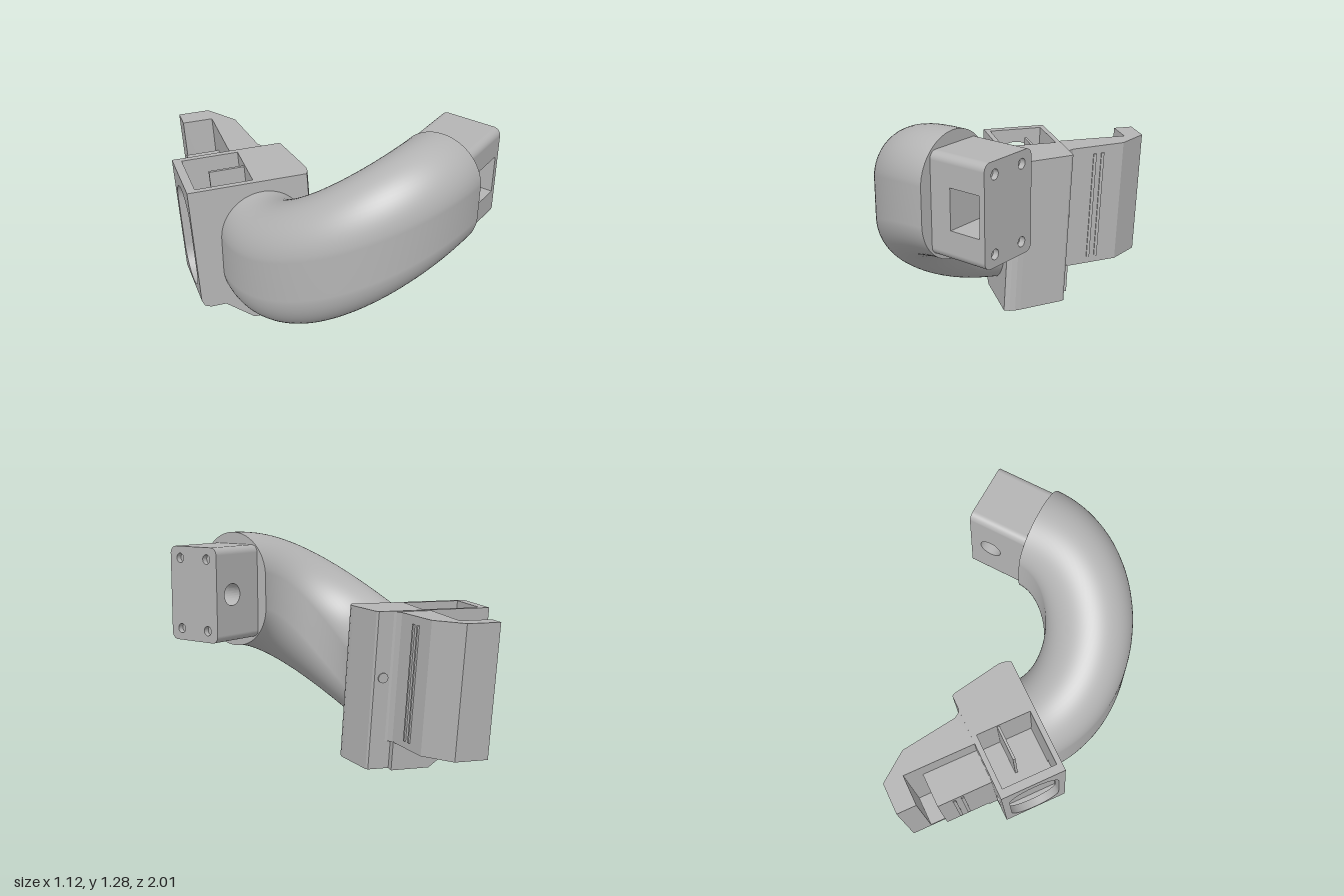
import * as THREE from 'three';

const grey = new THREE.MeshStandardMaterial({ color: 0xb4b4b4 });
grey.name = 'grey plastic';

// Mount frame: x runs along the plate, z out of its front; leans back with height
const mountFrame = new THREE.Matrix4().set(
  0.8, 0, -0.6, 0,
  0, 1, 0, 0,
  0.6, -0.085, 0.8, 0.0757,
  0, 0, 0, 1);

function add(parent, name, geometry) {
  const mesh = new THREE.Mesh(geometry, grey);
  mesh.name = name;
  parent.add(mesh);
  return mesh;
}
const polygon = pts => new THREE.Shape(pts.map(p => new THREE.Vector2(...p)));
const extrude = (shape, depth) =>
  new THREE.ExtrudeGeometry(shape, { depth, bevelEnabled: false, curveSegments: 20 });
function circleHole(shape, x, y, r) {
  const hole = new THREE.Path();
  hole.absarc(x, y, r, 0, Math.PI * 2, true);
  shape.holes.push(hole);
}
function roundedRect(x0, y0, x1, y1, rBottom, rTop) {
  const s = new THREE.Shape();
  s.moveTo(x0 + rBottom, y0);
  s.lineTo(x1 - rBottom, y0);
  if (rBottom) s.absarc(x1 - rBottom, y0 + rBottom, rBottom, -Math.PI / 2, 0, false);
  s.lineTo(x1, y1 - rTop);
  if (rTop) s.absarc(x1 - rTop, y1 - rTop, rTop, 0, Math.PI / 2, false);
  s.lineTo(x0 + rTop, y1);
  if (rTop) s.absarc(x0 + rTop, y1 - rTop, rTop, Math.PI / 2, Math.PI, false);
  s.lineTo(x0, y0 + rBottom);
  if (rBottom) s.absarc(x0 + rBottom, y0 + rBottom, rBottom, Math.PI, Math.PI * 1.5, false);
  return s;
}
function box(x0, x1, y0, y1, z0, z1) {
  return new THREE.BoxGeometry(x1 - x0, y1 - y0, z1 - z0)
    .translate((x0 + x1) / 2, (y0 + y1) / 2, (z0 + z1) / 2);
}

// Swept arm: stadium sections along a horizontal arc that descends smoothly
function armGeometry() {
  const n = 64, steps = 56, sweep = 2.214, R = 0.535, drop = 0.48;
  const pos = [], index = [];
  const ring = (theta, t, extra) => {
    const s = t * t * (3 - 2 * t);
    const slope = drop * 6 * t * (1 - t) / (sweep * R);
    const stretch = Math.sqrt(1 + slope * slope) * (1 + 0.065 * s);
    const nx = -Math.sin(theta), nz = Math.cos(theta);
    for (let j = 0; j < n; j++) {
      const a = (j + 0.5) / n * Math.PI * 2;
      const c = R + 0.247 * Math.cos(a);
      const h = (0.245 * Math.sin(a) + Math.sign(Math.sin(a)) * 0.0925) * stretch;
      pos.push(0.221 + nx * c - nz * extra, 0.946 - drop * s + h, 0.219 + nz * c + nx * extra);
    }
  };
  for (let i = 0; i <= steps; i++) ring(sweep * i / steps, i / steps, 0);
  ring(sweep, 1, 0.03);
  for (let i = 0; i <= steps; i++) for (let j = 0; j < n; j++) {
    const a = i * n + j, b = i * n + (j + 1) % n;
    index.push(a, b, b + n, a, b + n, a + n);
  }
  // flat end caps on their own vertices
  for (const end of [0, 1]) {
    const start = pos.length / 3;
    ring(end * sweep, end, end * 0.03);
    for (let j = 1; j < n - 1; j++) {
      if (end) index.push(start, start + j, start + j + 1);
      else index.push(start, start + j + 1, start + j);
    }
  }
  const g = new THREE.BufferGeometry();
  g.setAttribute('position', new THREE.Float32BufferAttribute(pos, 3));
  g.setIndex(index);
  g.computeVertexNormals();
  return g;
}

// Square end block with a nut pocket, a cross bore and four screw holes
function buildEndBlock() {
  const g = new THREE.Group();
  g.name = 'endBlock';
  const alongX = (shape, x0, x1) =>
    extrude(shape, x1 - x0).rotateY(Math.PI / 2).translate(x0, 0, 0.75);
  add(g, 'upperBar', alongX(roundedRect(-0.18, 1.055, 0.18, 1.215, 0, 0.042), 0.21, 0.528));
  add(g, 'lowerBar', alongX(roundedRect(-0.18, 0.675, 0.18, 0.835, 0.042, 0), 0.21, 0.528));
  add(g, 'innerWeb', box(0.21, 0.345, 0.835, 1.055, 0.57, 0.93));
  const bore = roundedRect(0.345, 0.835, 0.528, 1.055, 0, 0);
  circleHole(bore, 0.435, 0.945, 0.063);
  add(g, 'boredWall', extrude(bore, 0.13).translate(0, 0, 0.57));
  const cap = roundedRect(-0.18, 0.675, 0.18, 1.215, 0.042, 0.042);
  for (const z of [-0.103, 0.103]) for (const y of [0.742, 1.148]) circleHole(cap, z, y, 0.027);
  add(g, 'screwCap', alongX(cap, 0.528, 0.56));
  return g;
}

// Leaning mount: hollow block, neck with side recess, hooked lip
function buildMount() {
  const g = new THREE.Group();
  g.name = 'mount';
  const put = (name, geo) => add(g, name, geo.applyMatrix4(mountFrame));
  const upright = (pts, y0, y1) =>
    extrude(polygon(pts), y1 - y0).rotateX(-Math.PI / 2).translate(0, y0, 0);

  // solid right half of the block
  put('solidBlock', upright([[-0.27, -0.02], [0.037, -0.02], [0.05, 0.01], [0.054, 0.042],
    [0.05, 0.075], [-0.002, 0.345], [-0.012, 0.358], [-0.27, 0.36]], 0, 0.89));

  // hollow left half: front and back plates, floor, raised inner step, pierced side wall
  const foot = top => polygon([[-0.27, 0], [-0.27, top], [-0.65, top], [-0.65, 0.18],
    [-0.635, 0.145], [-0.6, 0.13], [-0.51, 0.13], [-0.35, 0]]);
  put('frontPlate', extrude(foot(0.89), 0.03).translate(0, 0, -0.01));
  put('backPlate', extrude(foot(0.89), 0.03).translate(0, 0, -0.36));
  put('pocketFloor', extrude(foot(0.181), 0.32).translate(0, 0, -0.33));
  put('pocketStep', box(-0.57, -0.27, 0.181, 0.5, -0.33, -0.01));
  const wall = roundedRect(0.01, 0.181, 0.33, 0.89, 0, 0);
  const oval = new THREE.Path();
  oval.absarc(0.17, 0.66, 0.15, 0, Math.PI, false);
  oval.absarc(0.17, 0.35, 0.15, Math.PI, Math.PI * 2, false);
  wall.holes.push(oval);
  put('ovalWall', extrude(wall, 0.05).rotateY(Math.PI / 2).translate(-0.65, 0, 0));
  put('pocketRib', box(-0.475, -0.27, 0.5, 0.87, -0.21, -0.195));

  // foot ledge carrying the neck
  put('footLedge', extrude(polygon([[-0.13, 0], [-0.13, 0.165], [-0.51, 0.165],
    [-0.51, 0.13], [-0.35, 0]]), 0.055).translate(0, 0, -0.412));

  // neck and hooked lip share one outline; a lower panel stands in the side recess
  put('neckAndLip', upright([[-0.31, 0.35], [-0.08, 0.35], [-0.11, 0.365], [-0.13, 0.395],
    [-0.178, 0.726], [-0.305, 0.892], [-0.488, 0.892], [-0.488, 0.778], [-0.31, 0.778]],
    0.16, 0.885));
  put('sidePanel', box(-0.51, -0.3, 0.16, 0.72, -0.685, -0.35));
  put('channelFloor', box(-0.488, -0.3, 0.16, 0.185, -0.785, -0.68));

  // twin grip ribs on both sides of the neck
  for (const v of [0.54, 0.59]) {
    const right = -0.13 - (v - 0.395) * 0.145;
    put('gripRib', box(right - 0.02, right + 0.008, 0.2, 0.84, -v - 0.009, -v + 0.009));
    put('gripRib', box(-0.516, -0.49, 0.2, 0.68, -v - 0.009, -v + 0.009));
  }
  // small buttons on the back of the block
  for (const u of [-0.06, -0.58]) {
    put('button', new THREE.CylinderGeometry(0.028, 0.028, 0.016, 24)
      .rotateX(Math.PI / 2).translate(u, 0.52, -0.36));
  }
  return g;
}

export function createModel() {
  const model = new THREE.Group();
  model.name = 'bracketArm';
  add(model, 'curvedArm', armGeometry());
  model.add(buildEndBlock(), buildMount());
  return model;
}
